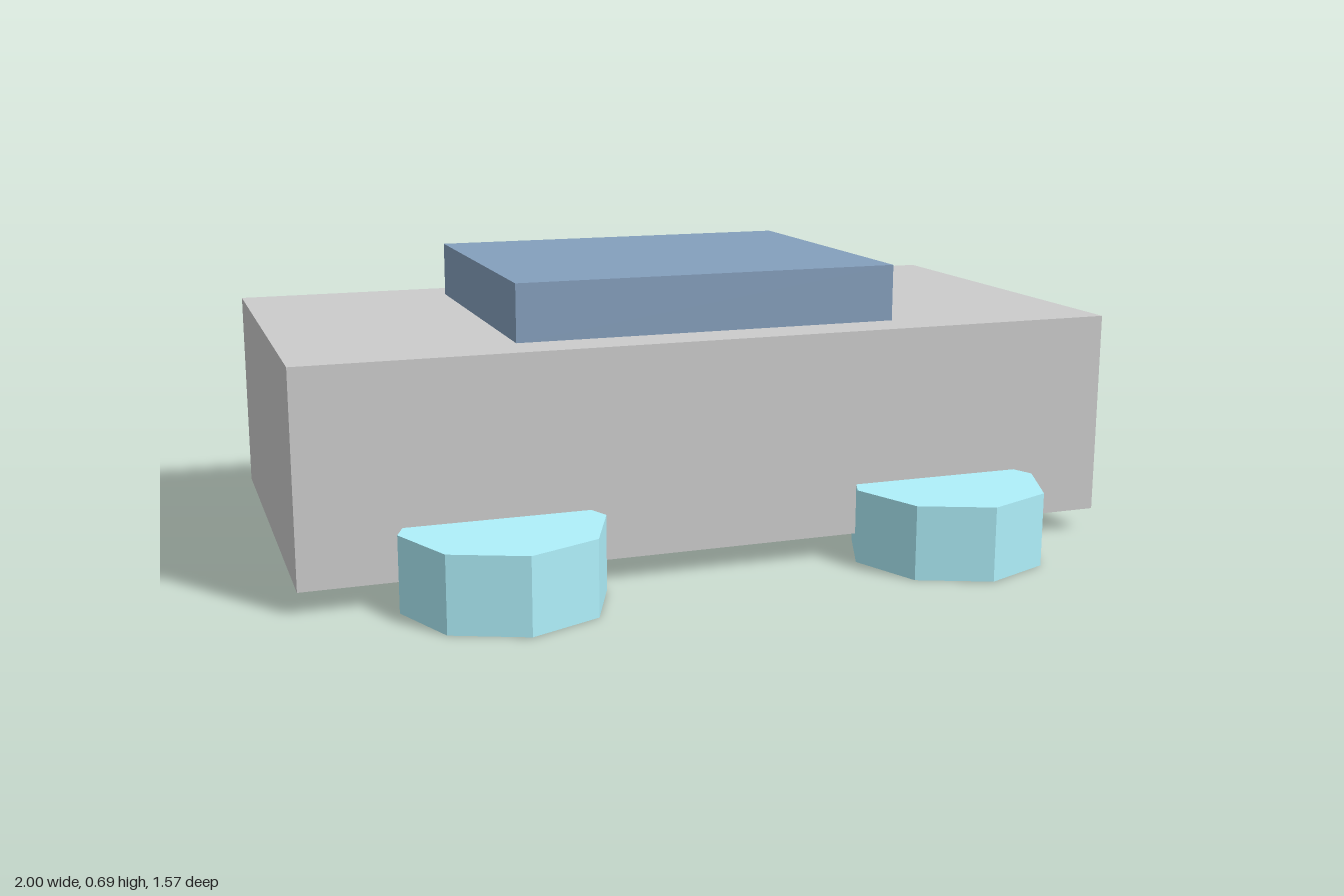
import * as THREE from 'three';

const material = (color) => new THREE.MeshStandardMaterial({ color, flatShading: true });

export function createModel() {
  const model = new THREE.Group();
  model.name = 'blockCar';

  const add = (name, geometry, mat, x, y, z) => {
    const mesh = new THREE.Mesh(geometry, mat);
    mesh.name = name;
    mesh.position.set(x, y, z);
    model.add(mesh);
  };

  // Main body and the low cabin on its roof
  add('body', new THREE.BoxGeometry(2, 0.498, 1), material(0xcccccc), 0, 0.304, 0);
  add('cabin', new THREE.BoxGeometry(0.948, 0.137, 0.775), material(0x849fbc), 0, 0.6215, 0);

  // Four eight-sided wheels lying flat under the corners
  const wheel = new THREE.CylinderGeometry(0.237, 0.237, 0.178, 8);
  const wheelMaterial = material(0xaff0fb);
  for (const [end, z] of [['front', 0.55], ['back', -0.55]]) {
    for (const [side, x] of [['Left', 0.55], ['Right', -0.55]]) {
      add(`${end}${side}Wheel`, wheel, wheelMaterial, x, 0.089, z);
    }
  }

  return model;
}
